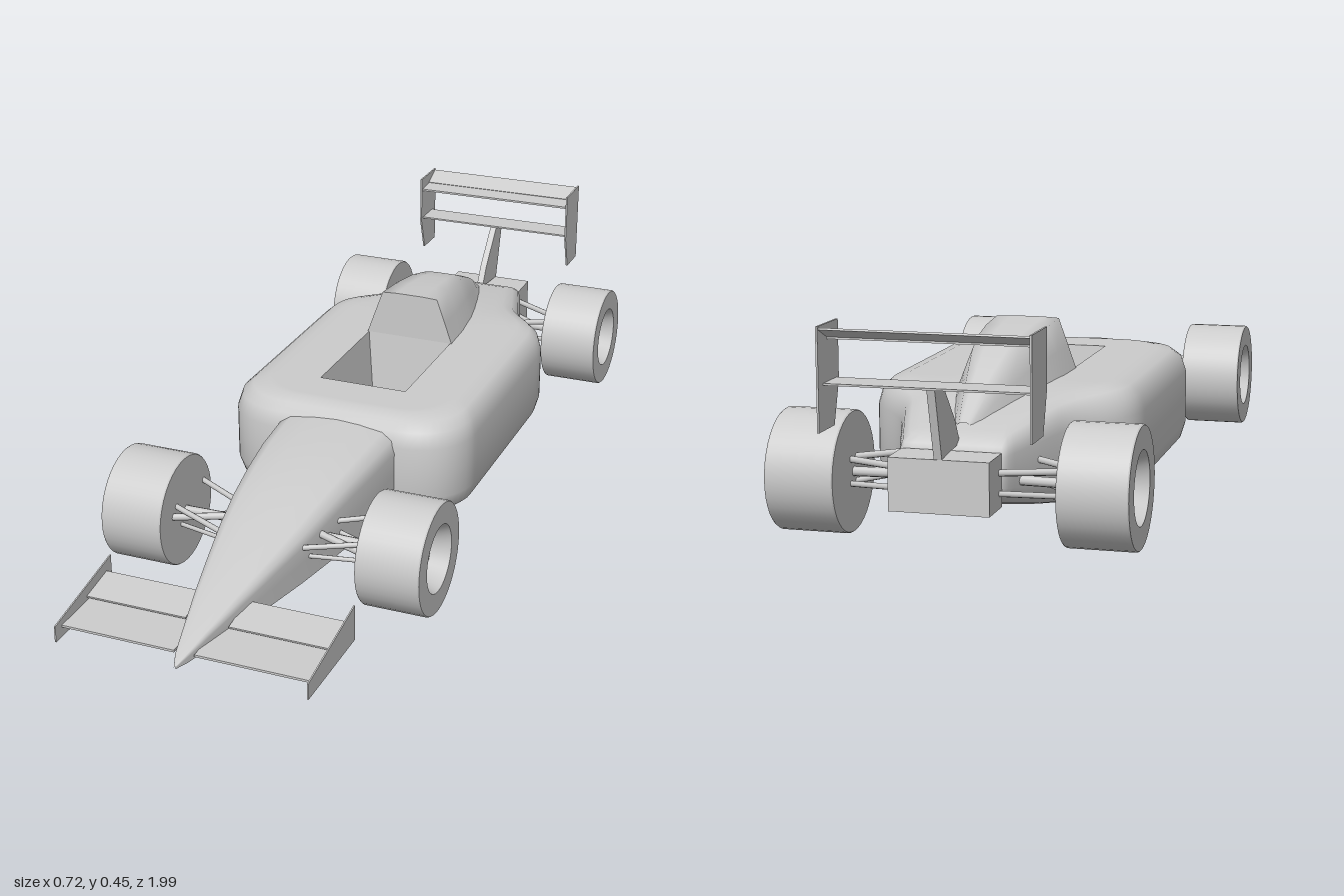
import * as THREE from 'three';

const mat = new THREE.MeshStandardMaterial({ color: 0xcccccc });
const thin = new THREE.MeshStandardMaterial({ color: 0xcccccc, side: THREE.DoubleSide });

function add(parent, name, geo, material = mat) {
  const m = new THREE.Mesh(geo, material);
  m.name = name;
  parent.add(m);
  return m;
}

// Skin through rings of [x, y, z] points
function loft(rings, closed) {
  const n = rings[0].length, index = [];
  for (let i = 0; i < rings.length - 1; i++)
    for (let j = 0; j < (closed ? n : n - 1); j++) {
      const k = (j + 1) % n, a = i * n + j, b = i * n + k;
      index.push(a, b, b + n, a, b + n, a + n);
    }
  const g = new THREE.BufferGeometry();
  g.setAttribute('position', new THREE.Float32BufferAttribute(rings.flat(2), 3));
  g.setIndex(index);
  g.computeVertexNormals();
  return g;
}

// Symmetric open section from a half profile running bottom to centre top
const mirrorSection = (half, z) => [
  ...half.map(([x, y]) => [x, y, z]),
  ...half.slice(0, -1).reverse().map(([x, y]) => [-x, y, z]),
];

// Upright plate from a [z, y] outline, with thickness along x
function sidePlate(points, x, t) {
  const s = new THREE.Shape(points.map(([z, y]) => new THREE.Vector2(-z, y)));
  const g = new THREE.ExtrudeGeometry(s, { depth: t, bevelEnabled: false });
  return g.rotateY(Math.PI / 2).translate(x - t / 2, 0, 0);
}

function plank(w, t, d, x, y, z, tilt = 0) {
  return new THREE.BoxGeometry(w, t, d).rotateX(tilt).translate(x, y, z);
}

function rod(a, b, r) {
  return new THREE.TubeGeometry(new THREE.LineCurve3(new THREE.Vector3(...a), new THREE.Vector3(...b)), 1, r, 8);
}

// Tail pinches vertically towards the gearbox
function pinch(y, z) {
  const s = Math.pow(THREE.MathUtils.clamp((-z - 0.45) / 0.38, 0, 1), 1.4);
  return y + s * (0.07 - ((y - 0.02) / 0.24) * 0.12);
}

function buildBody(car) {
  const path = new THREE.Path();
  path.moveTo(0, 0.2).lineTo(0.16, 0.197);
  path.quadraticCurveTo(0.27, 0.185, 0.287, 0.08).lineTo(0.287, -0.4);
  path.bezierCurveTo(0.287, -0.52, 0.2, -0.52, 0.165, -0.64);
  path.lineTo(0.105, -0.83).lineTo(0, -0.83);
  const half = path.getSpacedPoints(70).map((p) => [p.x, p.y]);
  const outline = [...half, ...half.slice(1, -1).reverse().map(([x, z]) => [-x, z])];
  const inset = (d) => outline.map(([x, z]) => [x * (1 - d / 0.287), (z + 0.315) * (1 - d / 0.515) - 0.315]);
  const lift = (pts, y) => pts.map(([x, z]) => [x, pinch(y, z), z]);

  // Open underside, rolled edges, then the deck closing in on the cockpit
  const rings = [lift(inset(0.06).map(([x, z]) => [x, Math.max(z, -0.6)]), 0.02)];
  for (const [d, y] of [[0.06, 0.02], [0.03, 0.025], [0.01, 0.045], [0, 0.08], [0, 0.14], [0, 0.2],
    [0.01, 0.235], [0.03, 0.253], [0.06, 0.26]]) rings.push(lift(inset(d), y));
  const { clamp, lerp } = THREE.MathUtils;
  for (let i = 1; i <= 6; i++)
    rings.push(lift(inset(0.06).map(([x, z]) =>
      [lerp(x, clamp(x, -0.105, 0.105), i / 6), lerp(z, clamp(z, -0.27, 0.03), i / 6)]), 0.26));
  add(car, 'body', loft(rings, true), thin);

  // Cockpit well
  const rect = (w, f, b, y) => [[w, y, f], [w, y, b], [-w, y, b], [-w, y, f]];
  const well = loft([rect(0.105, 0.03, -0.27, 0.26), rect(0.09, 0.012, -0.255, 0.12)], true).toNonIndexed();
  well.computeVertexNormals();
  add(car, 'cockpitWalls', well, thin);
  add(car, 'cockpitFloor', new THREE.PlaneGeometry(0.18, 0.267).rotateX(-Math.PI / 2).translate(0, 0.12, -0.1215), thin);

  // Engine cover: z, top, base half width, top half width
  const cover = [[-0.27, 0.37, 0.112, 0.07], [-0.36, 0.363, 0.11, 0.068], [-0.45, 0.353, 0.1, 0.06],
    [-0.52, 0.338, 0.086, 0.05], [-0.6, 0.305, 0.066, 0.036], [-0.67, 0.272, 0.047, 0.024], [-0.75, 0.228, 0.025, 0.01]];
  const sections = cover.map(([z, top, wb, wt]) => {
    const base = pinch(0.26, z) - 0.01;
    return mirrorSection([[wb, base], [lerp(wb, wt, 0.5), lerp(base, top, 0.5)], [wt, top - 0.002], [wt * 0.5, top], [0, top]], z);
  });
  add(car, 'engineCover', loft(sections, false), thin);
  const face = new THREE.Shape(sections[0].map(([x, y]) => new THREE.Vector2(x, y)));
  add(car, 'engineCoverFront', new THREE.ShapeGeometry(face).translate(0, 0, -0.27), thin);

  add(car, 'gearbox', new THREE.BoxGeometry(0.2, 0.105, 0.085).translate(0, 0.137, -0.872));
}

function buildNose(car) {
  // z, half width, top height
  const stations = [[0.15, 0.145, 0.241], [0.2, 0.143, 0.238], [0.3, 0.137, 0.231], [0.4, 0.126, 0.219], [0.5, 0.113, 0.201],
    [0.6, 0.096, 0.178], [0.7, 0.075, 0.153], [0.8, 0.053, 0.127], [0.9, 0.029, 0.098], [0.96, 0.014, 0.08], [0.99, 0.002, 0.067]];
  const profile = [[1, 0], [1, 0.4], [1, 0.7], [0.94, 0.86], [0.77, 0.945], [0.4, 0.985], [0, 1]];
  add(car, 'nose', loft(stations.map(([z, w, top]) =>
    mirrorSection(profile.map(([x, y]) => [x * w, 0.062 + y * (top - 0.062)]), z)), false), thin);
}

function buildWings(car) {
  const front = new THREE.Group(), rear = new THREE.Group();
  front.name = 'frontWing';
  rear.name = 'rearWing';
  car.add(front, rear);
  for (const s of [1, -1]) {
    add(front, 'mainPlane', plank(0.25, 0.005, 0.11, s * 0.147, 0.074, 0.895, 0.02));
    add(front, 'flap', plank(0.225, 0.004, 0.085, s * 0.16, 0.092, 0.807, 0.17));
    add(front, 'endPlate', sidePlate([[0.975, 0.05], [0.975, 0.085], [0.745, 0.128], [0.745, 0.05]], s * 0.272, 0.003));
    add(rear, 'endPlate', sidePlate([[-0.893, 0.447], [-1, 0.447], [-1, 0.247], [-0.92, 0.247], [-0.893, 0.33]], s * 0.204, 0.004));
  }
  add(rear, 'mainPlane', plank(0.405, 0.005, 0.055, 0, 0.418, -0.925, 0.06));
  add(rear, 'flap', plank(0.405, 0.004, 0.052, 0, 0.432, -0.972, 0.42));
  add(rear, 'lowerPlane', plank(0.405, 0.004, 0.07, 0, 0.335, -0.94));
  add(rear, 'pylon', sidePlate([[-0.8, 0.2], [-0.83, 0.25], [-0.905, 0.333], [-0.955, 0.333], [-0.915, 0.19]], 0, 0.016));
}

function buildWheels(car) {
  const profile = [[0, -0.07], [0.121, -0.07], [0.123, -0.067], [0.123, 0.067], [0.121, 0.07], [0.074, 0.07], [0.057, 0.03], [0, 0.03]];
  // Each straight run gets its own lathe band so edges stay crisp
  for (const [axle, z] of [['front', 0.5], ['rear', -0.77]])
    for (const s of [1, -1]) {
      const wheel = new THREE.Group();
      wheel.name = axle + (s > 0 ? 'LeftWheel' : 'RightWheel');
      for (let i = 0; i < profile.length - 1; i++)
        add(wheel, 'wheelBand', new THREE.LatheGeometry(profile.slice(i, i + 2).map((p) => new THREE.Vector2(...p)), 40));
      wheel.rotation.z = -s * Math.PI / 2;
      wheel.position.set(s * 0.291, 0.123, z);
      car.add(wheel);
    }
}

function buildSuspension(car) {
  // Inner point, outer point, radius for one side
  const arms = [
    [[0.07, 0.125, 0.5], [0.23, 0.123, 0.5], 0.01],
    [[0.085, 0.138, 0.47], [0.23, 0.155, 0.41], 0.006],
    [[0.085, 0.145, 0.52], [0.23, 0.132, 0.56], 0.008],
    [[0.075, 0.14, 0.6], [0.23, 0.152, 0.54], 0.006],
    [[0.085, 0.115, 0.44], [0.23, 0.098, 0.48], 0.005],
    [[0.075, 0.115, 0.58], [0.23, 0.098, 0.52], 0.005],
    [[0.08, 0.125, -0.77], [0.23, 0.123, -0.77], 0.01],
    [[0.11, 0.155, -0.69], [0.23, 0.15, -0.76], 0.007],
    [[0.09, 0.155, -0.85], [0.23, 0.15, -0.78], 0.007],
    [[0.11, 0.115, -0.69], [0.23, 0.1, -0.76], 0.006],
    [[0.09, 0.115, -0.85], [0.23, 0.1, -0.78], 0.006],
  ];
  for (const s of [1, -1])
    for (const [[ax, ay, az], [bx, by, bz], r] of arms)
      add(car, 'suspensionArm', rod([s * ax, ay, az], [s * bx, by, bz], r));
}

export function createModel() {
  const car = new THREE.Group();
  car.name = 'racingCar';
  buildBody(car);
  buildNose(car);
  buildWings(car);
  buildWheels(car);
  buildSuspension(car);
  return car;
}
